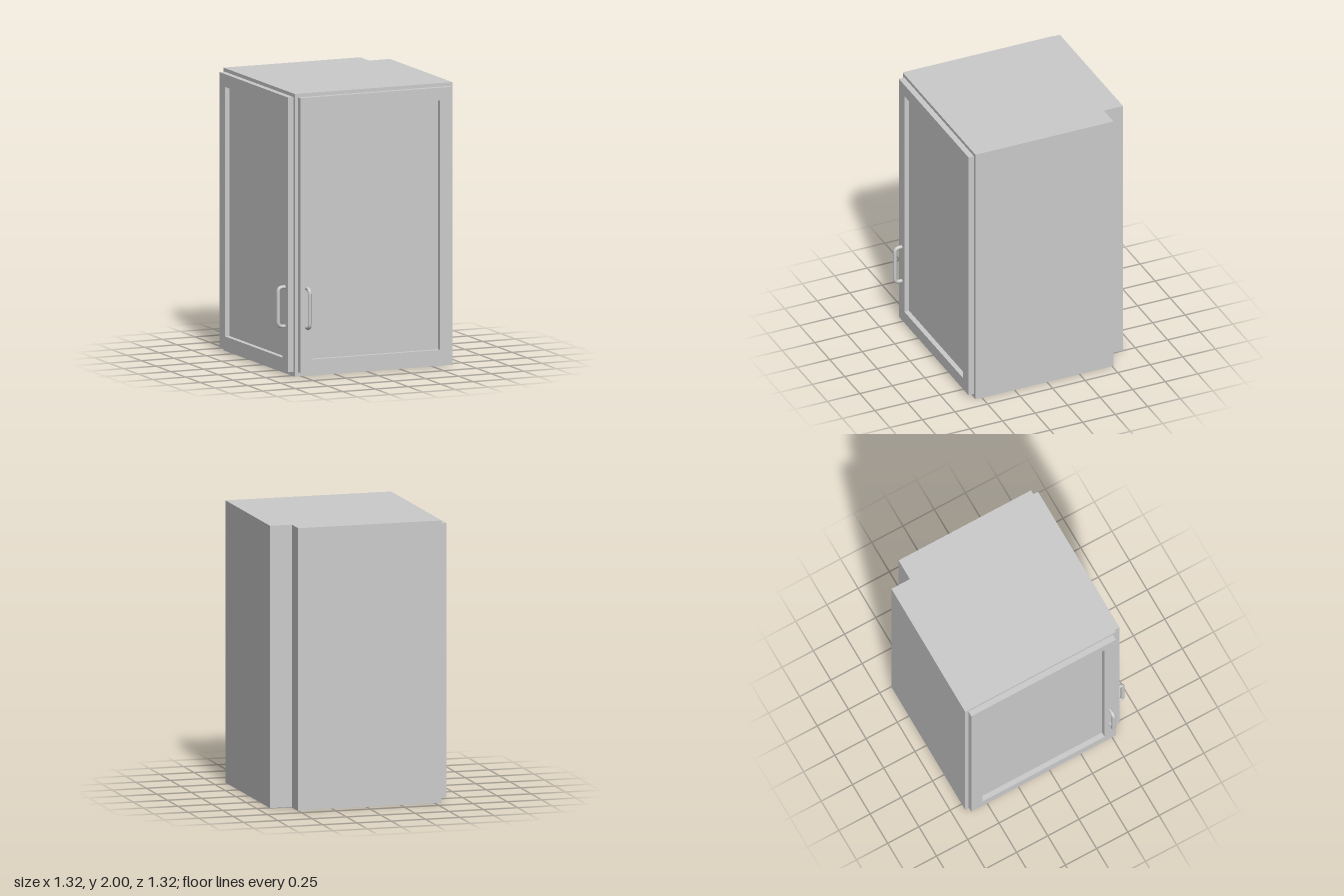
import * as THREE from 'three';

const MAT = new THREE.MeshStandardMaterial({ color: 0xcccccc });
const LOW = -0.55, HIGH = 0.6575; // carcass extents, shared by both plan axes
const CENTRE = (LOW + HIGH) / 2;
const DOOR = { width: 1.157, bottom: 0.03, top: 1.975, thick: 0.042, frame: 0.09, recess: 0.036 };

function part(name, geometry) {
  const mesh = new THREE.Mesh(geometry, MAT);
  mesh.name = name;
  return mesh;
}

function rectPoints(x0, y0, x1, y1) {
  return [[x0, y0], [x1, y0], [x1, y1], [x0, y1]].map(([x, y]) => new THREE.Vector2(x, y));
}

// Carcass: square plan with a notch cut out of the back left corner
function makeCarcass() {
  const plan = new THREE.Shape([
    [LOW, -0.55], [HIGH, -0.55], [HIGH, 0.51], [0.498, 0.51], [0.498, HIGH], [LOW, HIGH],
  ].map(([x, y]) => new THREE.Vector2(x, y)));
  const geometry = new THREE.ExtrudeGeometry(plan, { depth: 2, bevelEnabled: false });
  geometry.rotateX(-Math.PI / 2);
  return part('carcass', geometry);
}

// Bow handle: a round bar with rounded corners, standing on the door face
function makeHandle() {
  const r = 0.0135, reach = 0.0655 - r, half = 0.152 - r, bend = 0.035;
  const v = (y, z) => new THREE.Vector3(0, y, z);
  const path = new THREE.CurvePath();
  path.add(new THREE.LineCurve3(v(-half, -0.004), v(-half, reach - bend)));
  path.add(new THREE.QuadraticBezierCurve3(v(-half, reach - bend), v(-half, reach), v(-half + bend, reach)));
  path.add(new THREE.LineCurve3(v(-half + bend, reach), v(half - bend, reach)));
  path.add(new THREE.QuadraticBezierCurve3(v(half - bend, reach), v(half, reach), v(half, reach - bend)));
  path.add(new THREE.LineCurve3(v(half, reach - bend), v(half, -0.004)));
  return part('handle', new THREE.TubeGeometry(path, 64, r, 16, false));
}

// Framed door facing +z, with its back on z = 0; side picks the handle edge
function makeDoor(name, side) {
  const { width, bottom, top, thick, frame, recess } = DOOR;
  const door = new THREE.Group();
  door.name = name;

  const w = width / 2;
  const outline = new THREE.Shape(rectPoints(-w, bottom, w, top));
  outline.holes.push(new THREE.Path(rectPoints(-w + frame, bottom + frame, w - frame, top - frame).reverse()));
  door.add(part('doorFrame', new THREE.ExtrudeGeometry(outline, { depth: thick, bevelEnabled: false })));

  const panel = part('doorPanel', new THREE.BoxGeometry(width - 2 * frame, top - bottom - 2 * frame, thick - recess));
  panel.position.set(0, (top + bottom) / 2, (thick - recess) / 2);
  door.add(panel);

  const handle = makeHandle();
  handle.position.set(side * 0.531, 0.488, thick);
  door.add(handle);
  return door;
}

export function createModel() {
  const model = new THREE.Group();
  model.name = 'cornerCabinet';
  model.add(makeCarcass());

  const frontDoor = makeDoor('frontDoor', -1);
  frontDoor.position.set(CENTRE, 0, -LOW);

  // Second door on the right side, handles meeting at the shared corner
  const sideDoor = makeDoor('sideDoor', 1);
  sideDoor.rotation.y = -Math.PI / 2;
  sideDoor.position.set(LOW, 0, -CENTRE);

  model.add(frontDoor, sideDoor);
  return model;
}
